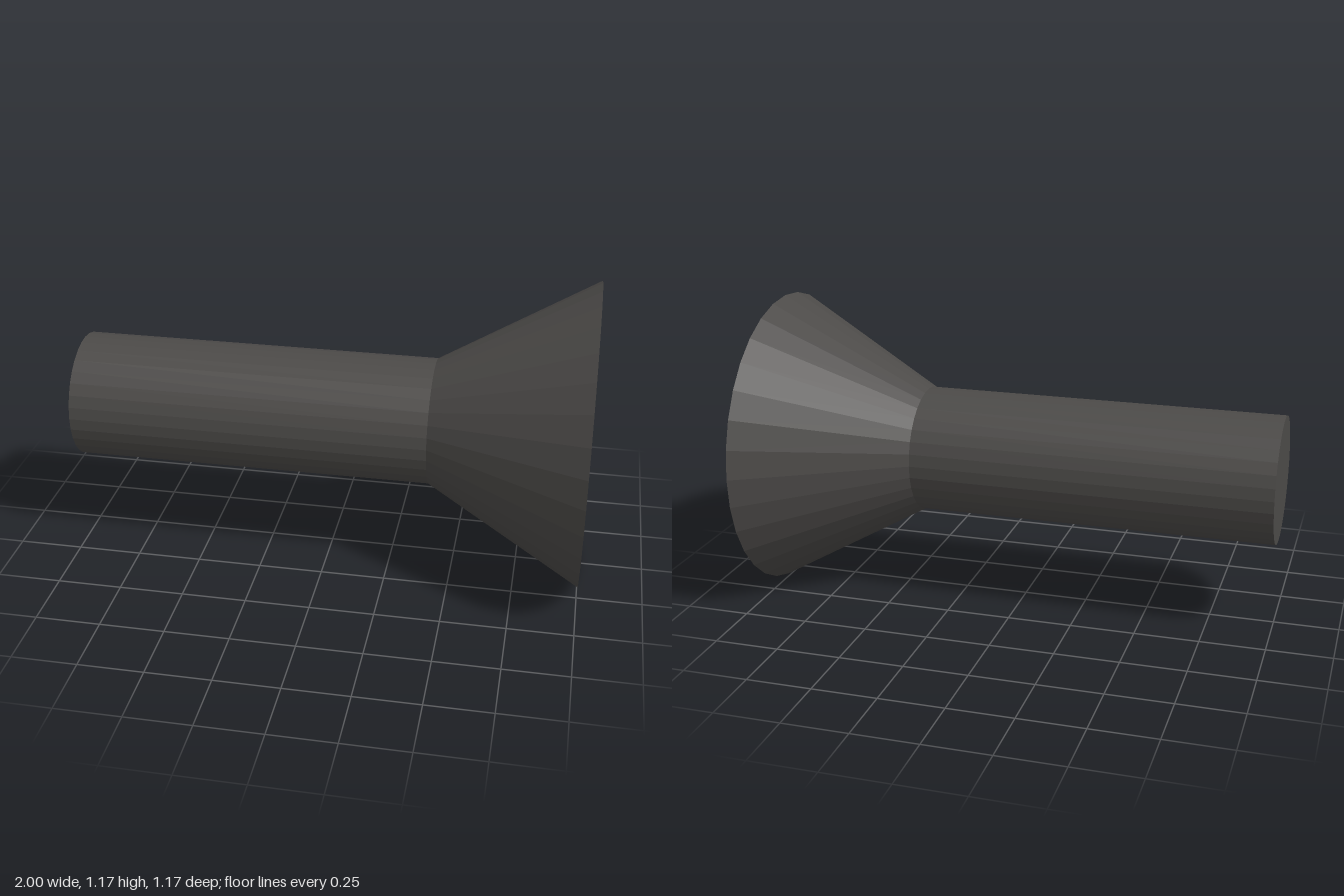
import * as THREE from 'three';

const SIDES = 32;
const AXIS_Y = 0.585;

export function createModel() {
  const group = new THREE.Group();
  const material = new THREE.MeshStandardMaterial({ color: 0x4c4a48, flatShading: true });

  // Lay a shape built along y onto the x axis, at the height of the torch
  const add = (name, geometry, x) => {
    geometry.rotateZ(-Math.PI / 2);
    const mesh = new THREE.Mesh(geometry, material);
    mesh.name = name;
    mesh.position.set(x, AXIS_Y, 0);
    group.add(mesh);
  };

  // Solid round handle; its front cap is the floor of the head
  add('handle', new THREE.CylinderGeometry(0.245, 0.245, 1.4, SIDES), -0.3);

  // Flared hollow head: outer cone, flat rim, then the inner cone
  const profile = [
    [0.245, 0.4], [0.585, 1], [0.535, 1], [0.46, 0.84], [0.245, 0.4],
  ].map(([r, y]) => new THREE.Vector2(r, y));
  add('flaredHead', new THREE.LatheGeometry(profile, SIDES), 0);

  return group;
}
